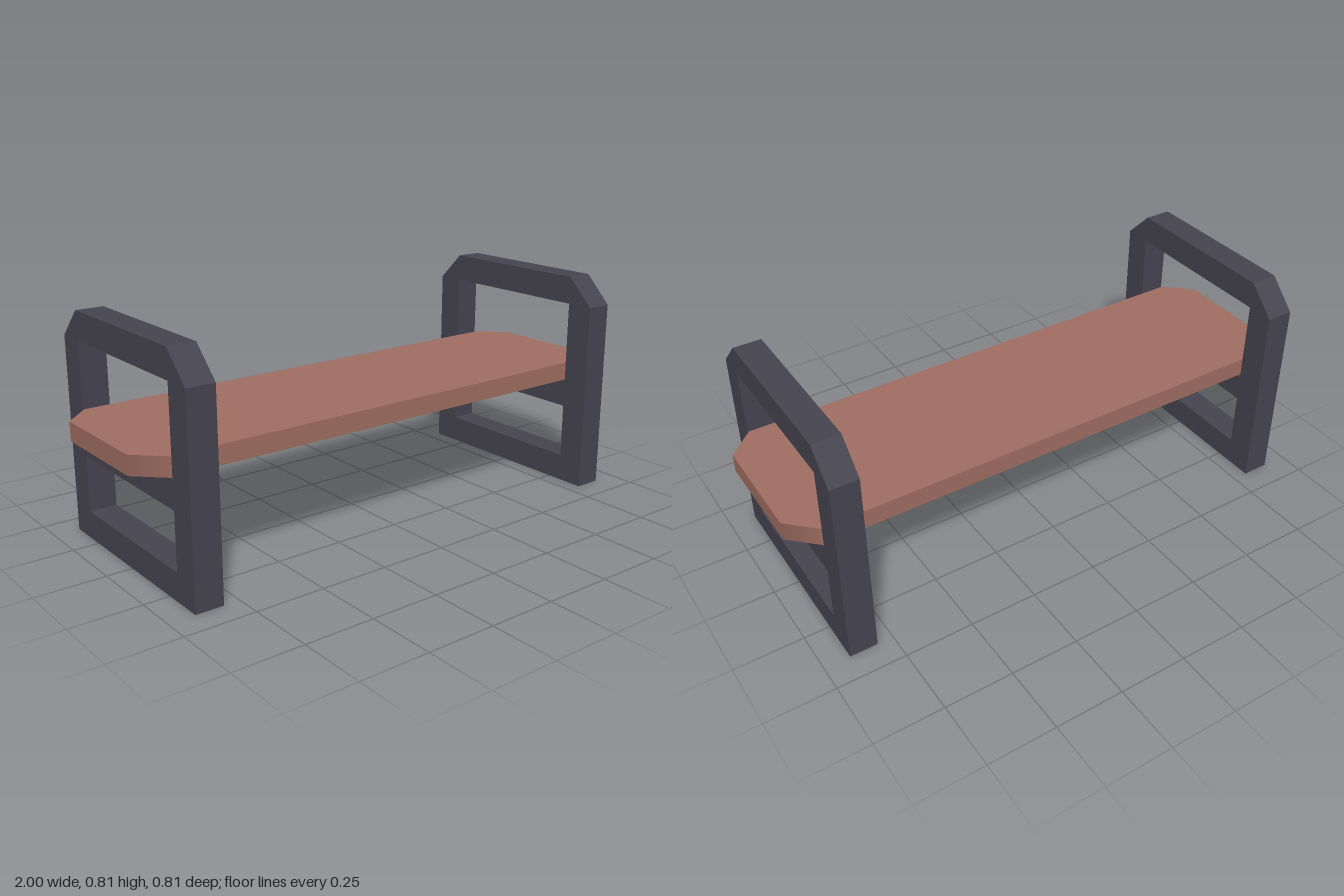
import * as THREE from 'three';

const polygon = (Type, points) => new Type(points.map(([x, y]) => new THREE.Vector2(x, y)));
const extrude = (shape, depth) => new THREE.ExtrudeGeometry(shape, { depth, bevelEnabled: false });

// End frame: outline with two cut top corners and two rectangular openings
function frameGeometry() {
  const w = 0.405, h = 0.81, inner = 0.303, cut = 0.102, thickness = 0.1;
  const shape = polygon(THREE.Shape, [[-w, 0], [w, 0], [w, h - cut], [w - cut, h], [cut - w, h], [-w, h - cut]]);
  for (const [low, high] of [[0.101, 0.304], [0.405, 0.708]]) {
    shape.holes.push(polygon(THREE.Path, [[-inner, low], [-inner, high], [inner, high], [inner, low]]));
  }
  return extrude(shape, thickness).translate(0, 0, -thickness / 2).rotateY(-Math.PI / 2);
}

// Seat board: rectangle with cut corners, shaded as if the cuts were rounded
function seatGeometry() {
  const l = 1, w = 0.292, lx = 0.905, wz = 0.2;
  const shape = polygon(THREE.Shape, [
    [-lx, -w], [lx, -w], [l, -wz], [l, wz], [lx, w], [-lx, w], [-l, wz], [-l, -wz],
  ]);
  const geometry = extrude(shape, 0.068).rotateX(-Math.PI / 2);
  const { position, normal } = geometry.attributes;
  for (let i = 0; i < normal.count; i++) {
    const nx = normal.getX(i), nz = normal.getZ(i);
    if (Math.abs(nx) < 0.1 || Math.abs(nz) < 0.1) continue;
    if (Math.abs(position.getZ(i)) > 0.25) normal.setXYZ(i, 0, 0, Math.sign(nz));
    else normal.setXYZ(i, Math.sign(nx), 0, 0);
  }
  return geometry;
}

export function createModel() {
  const model = new THREE.Group();
  model.name = 'bench';
  const frameMaterial = new THREE.MeshStandardMaterial({ color: 0x464450 });
  const seatMaterial = new THREE.MeshStandardMaterial({ color: 0xa06e62 });

  // Matching frames near each end
  const geometry = frameGeometry();
  for (const [name, side] of [['leftFrame', 1], ['rightFrame', -1]]) {
    const frame = new THREE.Mesh(geometry, frameMaterial);
    frame.name = name;
    frame.position.x = side * 0.857;
    model.add(frame);
  }

  // Seat resting on the middle rails
  const seat = new THREE.Mesh(seatGeometry(), seatMaterial);
  seat.name = 'seat';
  seat.position.y = 0.405;
  model.add(seat);
  return model;
}
